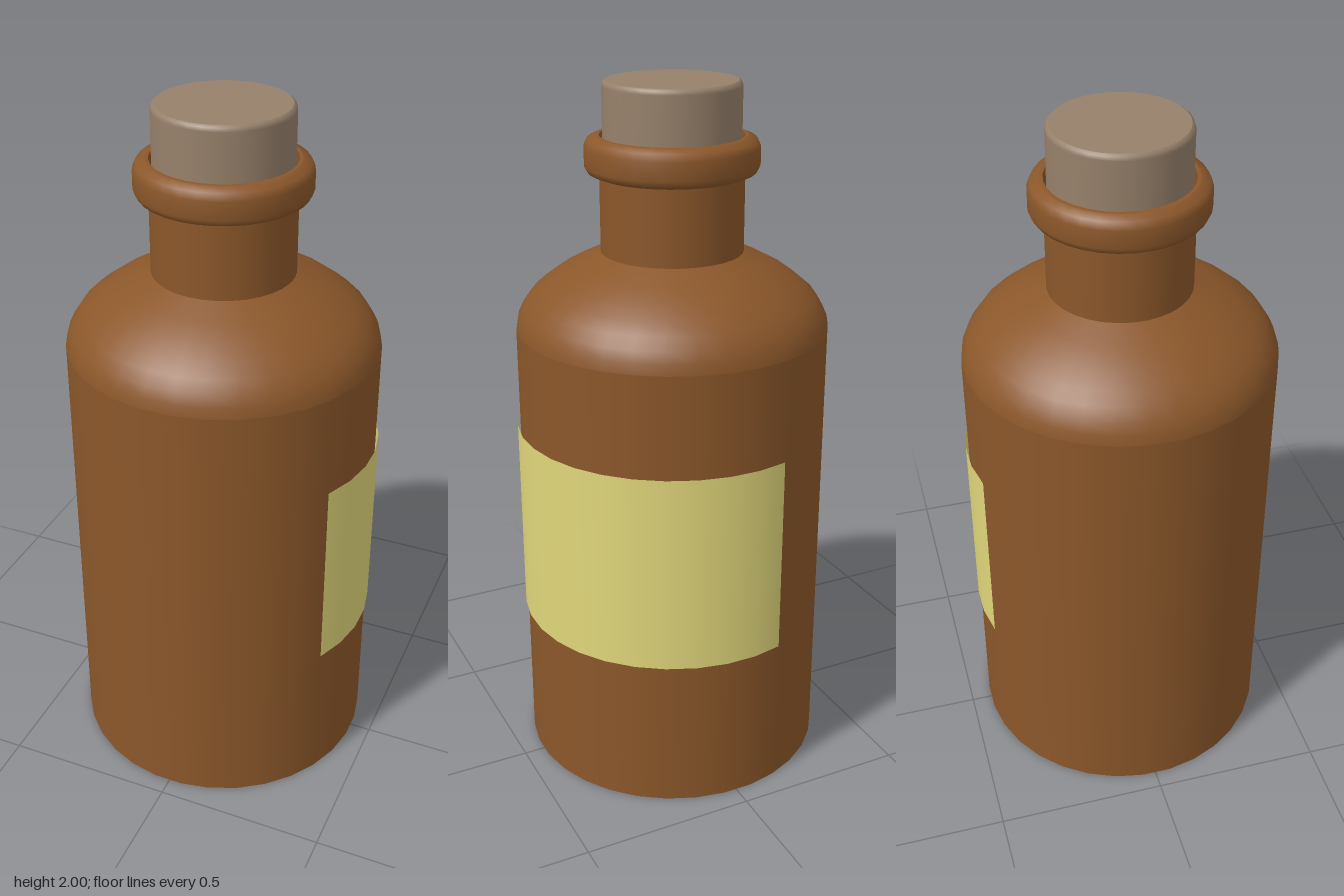
import * as THREE from 'three';

const SEGMENTS = 32;
const STEP = (Math.PI * 2) / SEGMENTS;

const glass = new THREE.MeshStandardMaterial({ color: 0x8b572a });
const corkMaterial = new THREE.MeshStandardMaterial({ color: 0x96806a });
const paper = new THREE.MeshStandardMaterial({ color: 0xe0d67a, side: THREE.DoubleSide });

// Revolve a profile of [radius, height] pairs; separate calls keep a crisp edge between them
function turned(name, profile, material, firstStep = 0.5, steps = SEGMENTS) {
  const points = profile.map(([r, y]) => new THREE.Vector2(r, y));
  const geometry = new THREE.LatheGeometry(points, steps, firstStep * STEP, steps * STEP);
  const mesh = new THREE.Mesh(geometry, material);
  mesh.name = name;
  return mesh;
}

export function createModel() {
  const model = new THREE.Group();
  model.name = 'corkedBottle';

  const bottle = new THREE.Group();
  bottle.name = 'bottle';
  // the label stands proud on one corner, so the bottle sits slightly off centre
  bottle.position.set(-0.004, 0, 0.004);
  model.add(bottle);

  // Body: flat base, straight wall and rounded shoulder
  bottle.add(turned('base', [[0, 0], [0.443, 0]], glass));
  bottle.add(turned('bodyWall', [[0.443, 0], [0.443, 1.32]], glass));
  bottle.add(turned('shoulder', [
    [0.443, 1.32], [0.438, 1.35], [0.424, 1.38], [0.402, 1.412],
    [0.37, 1.44], [0.325, 1.473], [0.27, 1.503], [0.2, 1.535],
  ], glass));

  // Neck and its rolled lip
  bottle.add(turned('neck', [[0.2, 1.535], [0.2, 1.75]], glass));
  bottle.add(turned('lipUnderside', [[0.2, 1.75], [0.213, 1.75]], glass));
  bottle.add(turned('lip', [
    [0.213, 1.75], [0.232, 1.758], [0.241, 1.775],
    [0.241, 1.825], [0.232, 1.845], [0.208, 1.855],
  ], glass));
  bottle.add(turned('lipTop', [[0.208, 1.855], [0.198, 1.855]], glass));
  bottle.add(turned('mouth', [[0.198, 1.855], [0.198, 1.7]], glass));
  bottle.add(turned('mouthFloor', [[0.198, 1.7], [0, 1.7]], glass));

  // Cork with a softened top rim
  const cork = new THREE.Group();
  cork.name = 'cork';
  cork.add(turned('corkSide', [
    [0.19, 1.7], [0.19, 1.985], [0.187, 1.995], [0.18, 2],
  ], corkMaterial));
  cork.add(turned('corkTop', [[0.18, 2], [0, 2]], corkMaterial));
  bottle.add(cork);

  // Paper label wrapped round part of the body
  bottle.add(turned('label', [[0.451, 0.45], [0.451, 1.03]], paper, 5.5, 12));

  return model;
}
